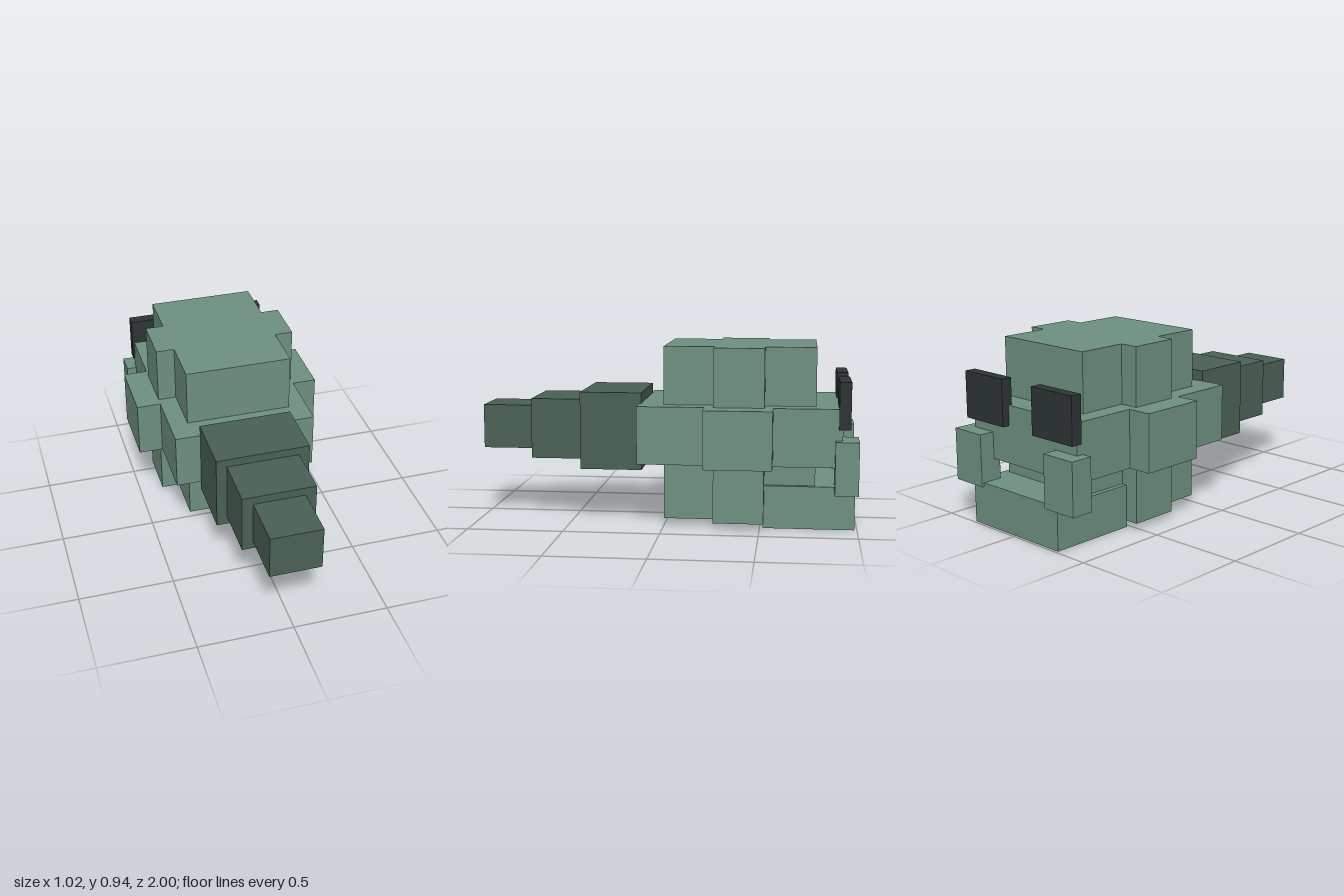
import * as THREE from 'three';

export function createModel() {
  const model = new THREE.Group();
  const material = (name, color) => {
    const m = new THREE.MeshStandardMaterial({ color });
    m.name = name;
    return m;
  };
  const shell = material('sage green', 0x6e9080);
  const dark = material('dark green', 0x4a6155);
  const black = material('charcoal', 0x2d3434);

  // Box given by its lower and upper limits on each axis
  const box = (name, mat, [x0, x1], [y0, y1], [z0, z1]) => {
    const mesh = new THREE.Mesh(new THREE.BoxGeometry(x1 - x0, y1 - y0, z1 - z0), mat);
    mesh.name = name;
    mesh.position.set((x0 + x1) / 2, (y0 + y1) / 2, (z0 + z1) / 2);
    model.add(mesh);
  };
  const wide = (w) => [-w, w];

  // Rounded body: a tall core and a long middle band, each with side bulges
  box('bodyCore', shell, wide(0.283), [0.034, 0.938], [-0.783, 0.003]);
  box('bodyCoreBulge', shell, wide(0.38), [0.034, 0.938], [-0.521, -0.261]);
  box('middleBand', shell, wide(0.38), [0.335, 0.635], [-0.918, 0.134]);
  box('middleBandBulge', shell, wide(0.508), [0.335, 0.635], [-0.566, -0.216]);

  // Jaw
  box('lowerJaw', shell, wide(0.31), [0, 0.223], [-0.987, -0.517]);

  // Stepped tail
  box('tailBase', dark, wide(0.247), [0.281, 0.69], [0.126, 0.452]);
  box('tailMiddle', dark, wide(0.192), [0.326, 0.646], [0.452, 0.726]);
  box('tailTip', dark, wide(0.135), [0.369, 0.603], [0.726, 1]);

  // Paired cheek blocks and eyes
  for (const [side, s] of [['left', 1], ['right', -1]]) {
    const span = (a, b) => (s > 0 ? [a, b] : [-b, -a]);
    box(side + 'Cheek', shell, span(0.235, 0.434), [0.202, 0.475], [-1, -0.88]);
    box(side + 'Eye', black, span(0.108, 0.39), [0.53, 0.773], [-0.957, -0.897]);
  }
  return model;
}
